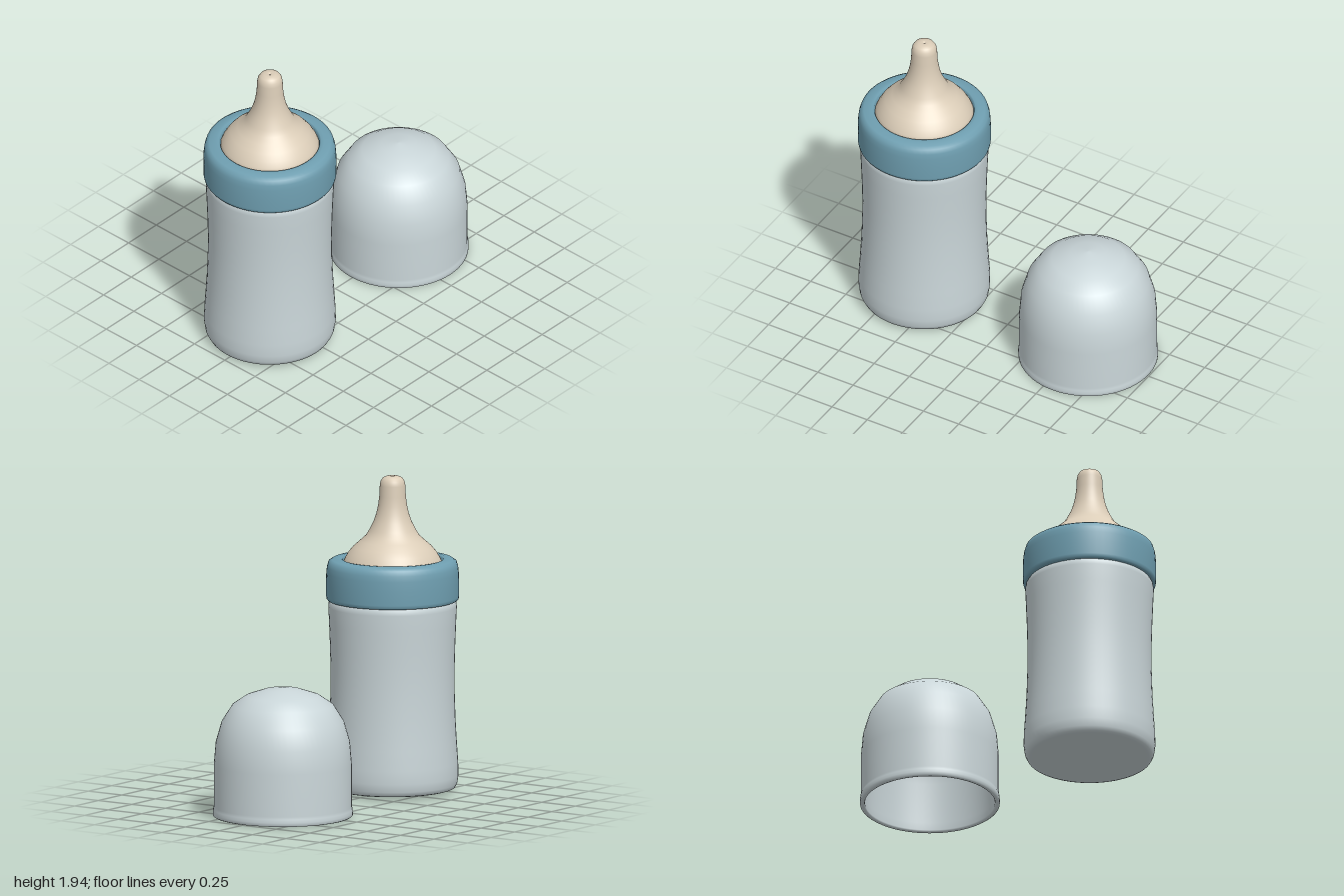
import * as THREE from 'three';

const material = (name, color) => {
  const m = new THREE.MeshStandardMaterial({ color });
  m.name = name;
  return m;
};

// Revolve a [radius, height] profile; outside runs from bottom to top
function turned(name, profile, mat) {
  const points = profile.map(([r, y]) => new THREE.Vector2(r, y));
  const mesh = new THREE.Mesh(new THREE.LatheGeometry(points, 64), mat);
  mesh.name = name;
  return mesh;
}

export function createModel() {
  const plastic = material('pale grey plastic', 0xc9d5d8);
  const teal = material('teal plastic', 0x6f9fb1);
  const rubber = material('beige rubber', 0xdbcdb8);

  const model = new THREE.Group();
  model.name = 'feedingBottle';

  const bottle = new THREE.Group();
  bottle.name = 'bottle';
  bottle.position.x = -0.592;

  // Waisted body with a flat base and a shoulder tucked under the collar
  bottle.add(turned('body', [
    [0, 0.018], [0.355, 0.018], [0.365, 0.018], [0.382, 0.024], [0.395, 0.05],
    [0.402, 0.1], [0.4, 0.18], [0.392, 0.3], [0.384, 0.44], [0.379, 0.6],
    [0.378, 0.75], [0.382, 0.9], [0.387, 1.03], [0.392, 1.14],
    [0.389, 1.165], [0.38, 1.182], [0.36, 1.192], [0.34, 1.195]
  ], plastic));

  // Screw collar, rounded at the top and open in the middle
  bottle.add(turned('collar', [
    [0.34, 1.18], [0.385, 1.178], [0.396, 1.18], [0.403, 1.188], [0.406, 1.205],
    [0.406, 1.29], [0.404, 1.35], [0.4, 1.385], [0.391, 1.415], [0.37, 1.429],
    [0.33, 1.435], [0.312, 1.434], [0.304, 1.428], [0.3, 1.41], [0.3, 1.37]
  ], teal));

  // Teat with a flared base and a small dimple at the tip
  bottle.add(turned('teat', [
    [0.3, 1.38], [0.3, 1.415], [0.29, 1.438], [0.27, 1.472], [0.24, 1.508],
    [0.198, 1.545], [0.163, 1.577], [0.142, 1.612], [0.117, 1.662],
    [0.099, 1.713], [0.088, 1.765], [0.081, 1.82], [0.078, 1.885],
    [0.073, 1.912], [0.06, 1.932], [0.038, 1.942], [0.014, 1.944],
    [0.009, 1.94], [0, 1.935]
  ], rubber));

  // Hollow domed cap standing beside the bottle
  const cap = turned('cap', [
    [0, 0.77], [0.1, 0.757], [0.212, 0.721], [0.292, 0.667], [0.351, 0.573],
    [0.386, 0.455], [0.396, 0.32], [0.397, 0.06], [0.396, 0.012], [0.4, 0.003],
    [0.408, 0], [0.418, 0.001], [0.426, 0.007], [0.427, 0.025], [0.425, 0.045],
    [0.421, 0.062], [0.421, 0.32], [0.409, 0.46], [0.373, 0.585],
    [0.308, 0.687], [0.224, 0.744], [0.107, 0.783], [0, 0.795]
  ], plastic);
  cap.position.x = 0.572;

  model.add(bottle, cap);
  return model;
}
